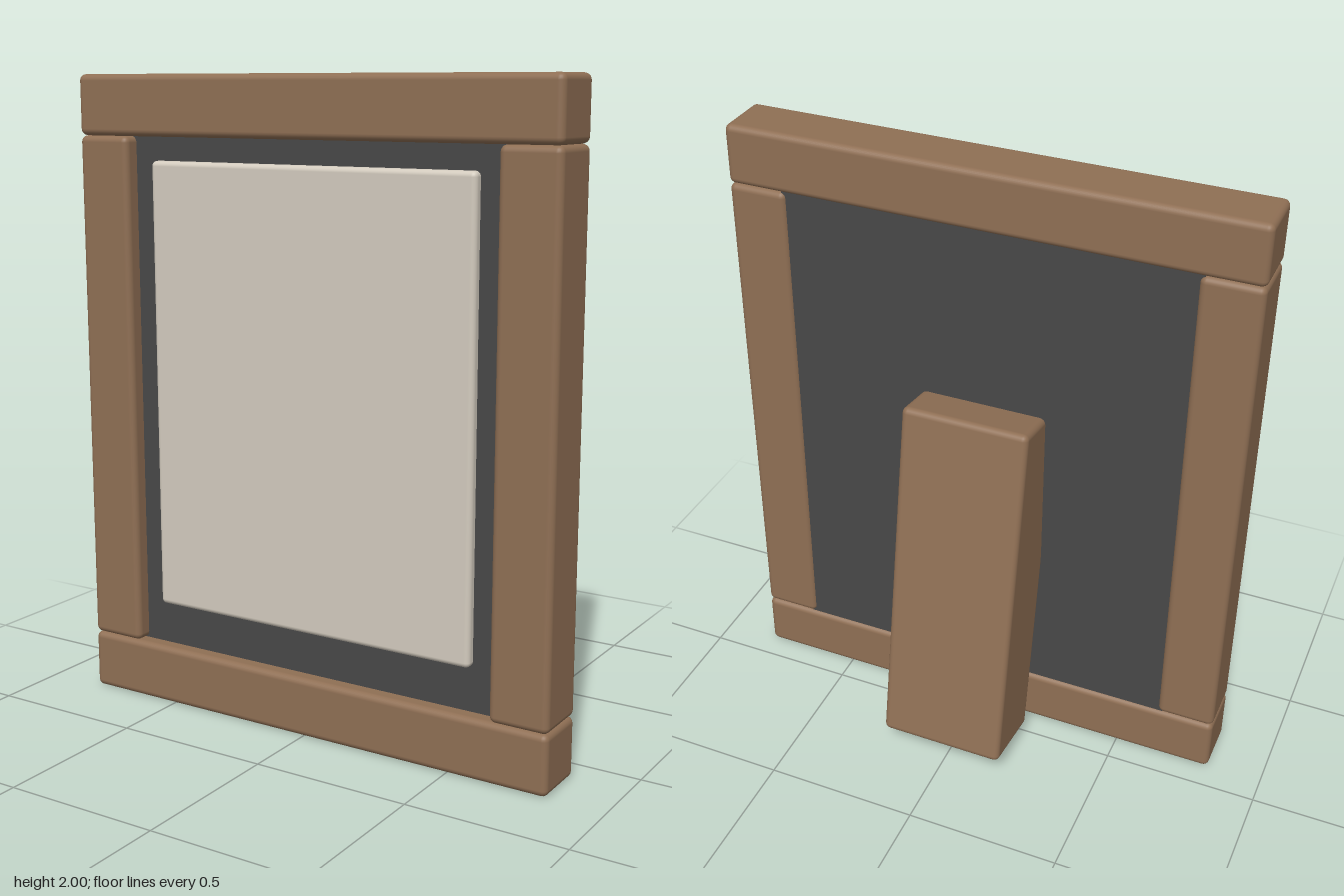
import * as THREE from 'three';
import { RoundedBoxGeometry } from 'three/addons/geometries/RoundedBoxGeometry.js';

function material(name, color) {
  const m = new THREE.MeshStandardMaterial({ color });
  m.name = name;
  return m;
}

export function createModel() {
  const group = new THREE.Group();
  group.name = 'pictureFrame';
  const wood = material('brown wood', 0x8f6f54);
  const dark = material('dark backing', 0x484848);
  const paper = material('cream paper', 0xd3cbbe);

  const add = (name, geometry, mat, x, y, z) => {
    const mesh = new THREE.Mesh(geometry, mat);
    mesh.name = name;
    mesh.position.set(x, y, z);
    group.add(mesh);
    return mesh;
  };
  const rounded = (w, h, d, r) => new RoundedBoxGeometry(w, h, d, 3, r);

  const bar = 0.187, halfWidth = 0.822, frameZ = 0.172;

  // Full-width rails at the bottom and top
  for (const [name, y] of [['bottomRail', bar / 2], ['topRail', 2 - bar / 2]])
    add(name, rounded(halfWidth * 2, bar, bar, 0.02), wood, 0, y, frameZ);

  // Upright stiles between the rails
  for (const [name, side] of [['leftStile', 1], ['rightStile', -1]])
    add(name, rounded(bar, 2 - 2 * bar, bar, 0.02), wood, side * (halfWidth - bar / 2), 1, frameZ);

  // Backing board and the picture mounted on it
  add('backingBoard', new THREE.BoxGeometry(1.3, 1.66, 0.125), dark, 0, 1, 0.1525);
  add('picture', rounded(1.12, 1.415, 0.05, 0.016), paper, 0, 1.032, 0.218);

  // Leaning support leg at the back
  const leg = add('supportLeg', rounded(0.41, 1.18, 0.26, 0.02), wood, 0, 0.652, -0.032);
  leg.rotation.x = THREE.MathUtils.degToRad(10);

  return group;
}
